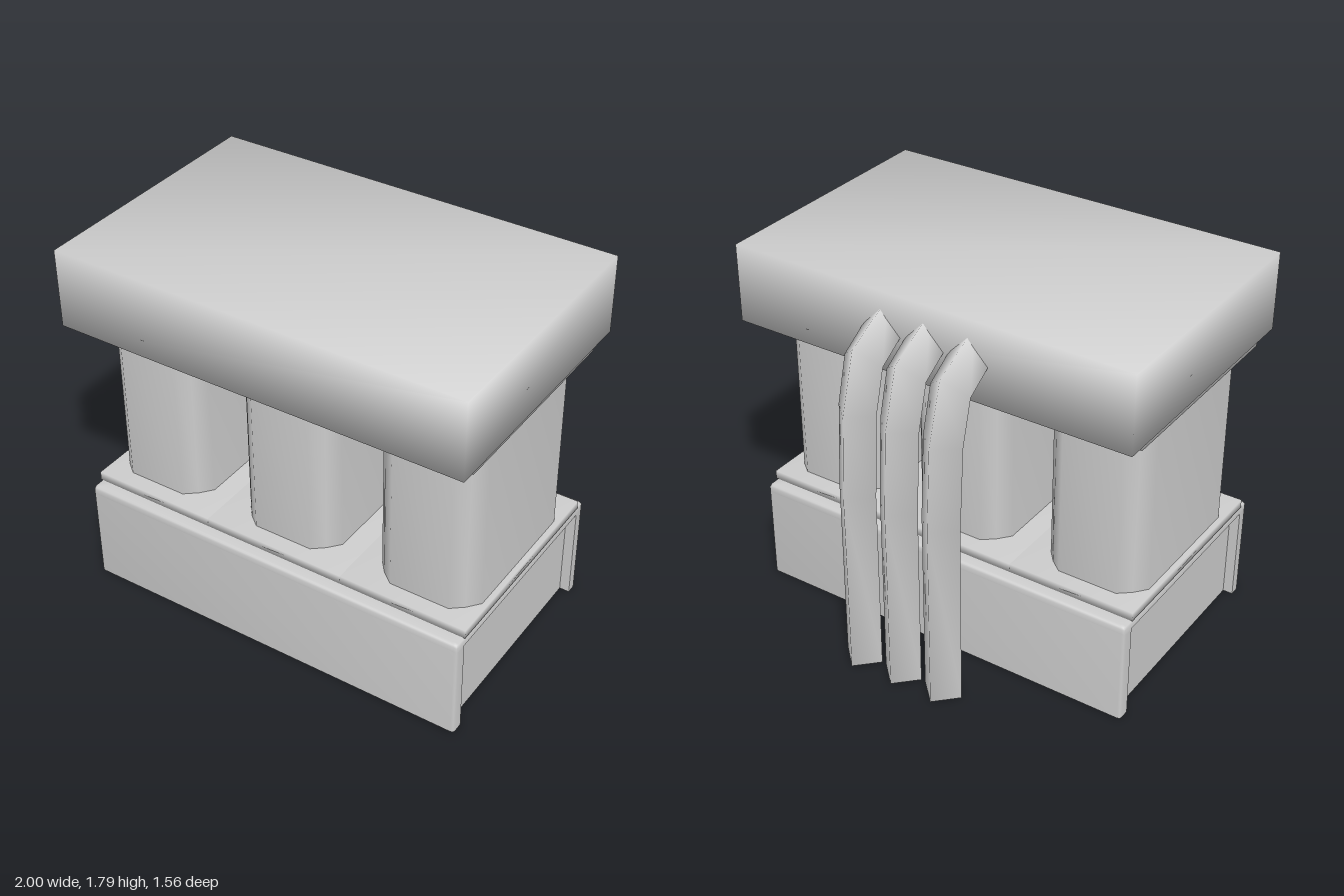
import * as THREE from 'three';
import { mergeVertices, toCreasedNormals } from 'three/addons/utils/BufferGeometryUtils.js';

const grey = new THREE.MeshStandardMaterial({ color: 0xcccccc });
const greyThin = new THREE.MeshStandardMaterial({ color: 0xcccccc, side: THREE.DoubleSide });
const CZ = 0.16; // depth centre of base, collars and pillars

// Box with normals shared across its edges for soft shading
function softBox(name, w, d, y0, y1, x, z) {
  let g = new THREE.BoxGeometry(w, y1 - y0, d);
  g.deleteAttribute('normal');
  g.deleteAttribute('uv');
  g = mergeVertices(g);
  g.computeVertexNormals();
  const m = new THREE.Mesh(g, grey);
  m.name = name;
  m.position.set(x, (y0 + y1) / 2, z);
  return m;
}

// Surface lofted through rings of equal point count
function loft(rings) {
  const n = rings[0].length, index = [];
  for (let i = 0; i < rings.length - 1; i++)
    for (let j = 0; j < n; j++) {
      const a = i * n + j, b = i * n + (j + 1) % n;
      index.push(a, b, a + n, b, b + n, a + n);
    }
  const g = new THREE.BufferGeometry();
  g.setAttribute('position', new THREE.Float32BufferAttribute(rings.flat(2), 3));
  g.setIndex(index);
  g.computeVertexNormals();
  return g;
}

// Mirrors a +x +z quarter outline into a full ring at height y, wound to face outwards
function ring(quarter, y, cx = 0) {
  const flip = (sx, sz) => quarter.map(([x, z]) => [x * sx, z * sz]);
  return [...flip(1, 1), ...flip(-1, 1).reverse(), ...flip(-1, -1), ...flip(1, -1).reverse()]
    .reverse().map(([x, z]) => [x + cx, y, z + CZ]);
}

// Hollow base: thin walls with recessed end panels, and an open rim along the top
function makeBase() {
  const base = new THREE.Group();
  base.name = 'base';
  const X = 0.978, Z = 0.57, inset = 0.93, lip = 0.51;
  const corner = (x, z) => [[x, z - 0.015], [x - 0.004, z - 0.004], [x - 0.015, z]];
  const plan = [[inset, lip], [X, lip], ...corner(X, Z)];
  const rim = [
    [inset, Z - 0.03, 0.47], [X, Z, 0.47], [X, Z, 0.495],
    [X - 0.004, Z - 0.004, 0.505], [X - 0.015, Z - 0.015, 0.51], [0.9, 0.5, 0.51],
  ];
  const parts = {
    baseWalls: [ring(plan, 0), ring(plan, 0.47)],
    baseRim: rim.map(([x, z, y]) => ring(corner(x, z), y)),
  };
  for (const [name, rings] of Object.entries(parts)) {
    const m = new THREE.Mesh(toCreasedNormals(loft(rings), 0.9), greyThin);
    m.name = name;
    base.add(m);
  }
  return base;
}

// Pillar with softly shaded chamfered corners
function makePillar(cx) {
  const X = 0.25, Z = 0.43, c = 0.105;
  const plan = [[X, Z - c], [X - c * 0.45, Z - c * 0.45], [X - c, Z]];
  const m = new THREE.Mesh(loft([ring(plan, 0.54, cx), ring(plan, 1.39, cx)]), grey);
  m.name = 'pillar';
  return m;
}

// Diamond-section pipe bending forward into the roof block
function makePipe(x) {
  // back z, back y, front z, front y
  const stations = [
    [-0.78, 0, -0.58, 0], [-0.775, 0.92, -0.575, 0.9], [-0.75, 1.32, -0.55, 1.3],
    [-0.667, 1.605, -0.52, 1.44], [-0.42, 1.735, -0.42, 1.53],
  ];
  const rings = stations.map(([bz, by, fz, fy]) => {
    const my = (by + fy) / 2, mz = (bz + fz) / 2;
    return [[x, fy, fz], [x + 0.1, my, mz], [x, by, bz], [x - 0.1, my, mz]];
  });
  const m = new THREE.Mesh(loft(rings), greyThin);
  m.name = 'pipe';
  return m;
}

export function createModel() {
  const model = new THREE.Group();
  model.add(makeBase());

  // Three pillars, each between a lower and an upper collar
  for (const i of [-1, 0, 1]) {
    const w = i ? 0.625 : 0.71, cx = i * 0.6675;
    model.add(
      softBox('lowerCollar', w, 1.02, 0.51, 0.552, cx, CZ),
      makePillar(i * 0.705),
      softBox('upperCollar', w, 1.02, 1.375, 1.419, cx, CZ),
    );
  }

  model.add(softBox('roofBlock', 2, 1.25, 1.418, 1.794, 0, 0.155));

  for (const x of [-0.22, 0, 0.22]) model.add(makePipe(x));
  return model;
}
